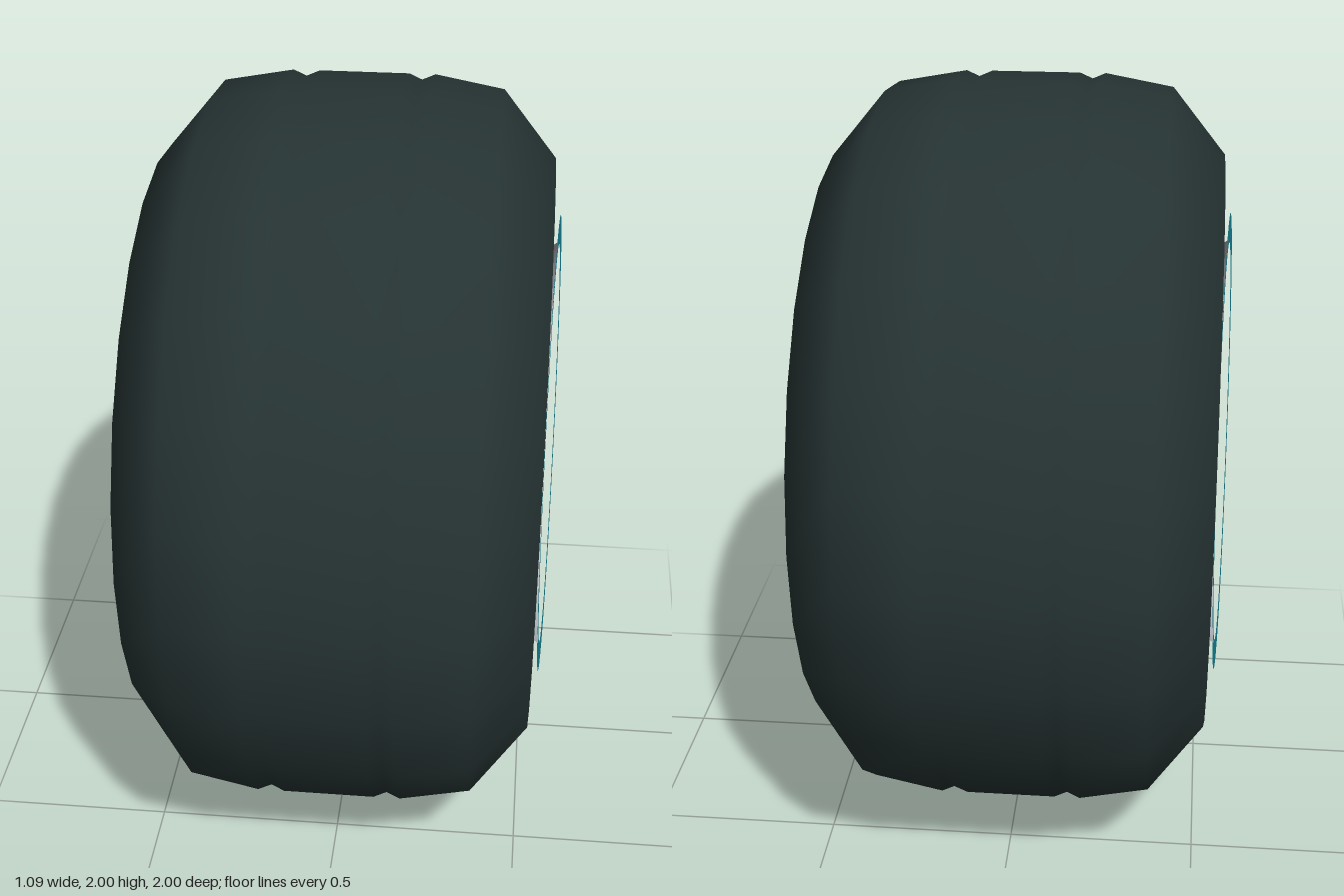
import * as THREE from 'three';

const material = (name, color, side = THREE.FrontSide) => {
  const m = new THREE.MeshStandardMaterial({ color, side });
  m.name = name;
  return m;
};

// Profile of [radius, x] pairs turned around the wheel axle (x axis)
function turned(profile, segments = 24) {
  const points = profile.map(([r, x]) => new THREE.Vector2(r, x));
  return new THREE.LatheGeometry(points, segments).rotateZ(-Math.PI / 2);
}

function part(name, geometry, mat) {
  const mesh = new THREE.Mesh(geometry, mat);
  mesh.name = name;
  return mesh;
}

export function createModel() {
  const rubber = material('dark rubber', 0x263333);
  const metal = material('silver metal', 0xb4b9c1);
  const cyan = material('cyan paint', 0x25bdd5, THREE.DoubleSide);

  const wheel = new THREE.Group();
  wheel.name = 'wheel';

  // Tyre: bevelled shoulders and two shallow tread grooves
  const half = [[1, 0.12], [0.985, 0.155], [1, 0.19], [0.967, 0.375], [0.79, 0.52], [0.55, 0.52]];
  const mirrored = half.map(([r, x]) => [r, -x]).reverse();
  wheel.add(part('tyre', turned([...mirrored, ...half]), rubber));

  // Dark inner barrel between the two rims
  wheel.add(part('innerBarrel', turned([[0.45, 0.39], [0.45, -0.39]]), rubber));

  // Forked spoke outline: radial along x, tangential along y
  const fork = new THREE.Shape([
    [0.13, -0.02], [0.48, -0.083], [0.48, -0.03], [0.31, 0],
    [0.48, 0.03], [0.48, 0.083], [0.13, 0.02],
  ].map(([x, y]) => new THREE.Vector2(x, y)));
  const spokeGeometry = new THREE.ExtrudeGeometry(fork, { depth: 0.045, bevelEnabled: false })
    .translate(0, 0, 0.41)
    .rotateY(Math.PI / 2);

  // Dished rim, painted ring and rounded-shaded hub, shared by both sides
  const rimGeometry = turned([[0.56, 0.541], [0.545, 0.52], [0.515, 0.45], [0.45, 0.39]]);
  const ringGeometry = new THREE.RingGeometry(0.552, 0.632, 48).rotateY(Math.PI / 2).translate(0.543, 0, 0);
  const hubGeometry = turned([[0, 0.42], [0.15, 0.43], [0.15, 0.525], [0, 0.53]], 12);

  for (const side of ['left', 'right']) {
    const face = new THREE.Group();
    face.name = side + 'WheelFace';
    face.add(part('rim', rimGeometry, metal));
    face.add(part('paintedRing', ringGeometry, cyan));
    face.add(part('hub', hubGeometry, metal));
    for (let i = 0; i < 6; i++) {
      const spoke = part('spoke', spokeGeometry, metal);
      spoke.rotation.x = (i * Math.PI) / 3;
      face.add(spoke);
    }
    if (side === 'right') face.rotation.y = Math.PI;
    wheel.add(face);
  }

  // Rest the tyre on the ground
  wheel.position.y = 1;
  const model = new THREE.Group();
  model.name = 'wheelModel';
  model.add(wheel);
  return model;
}
